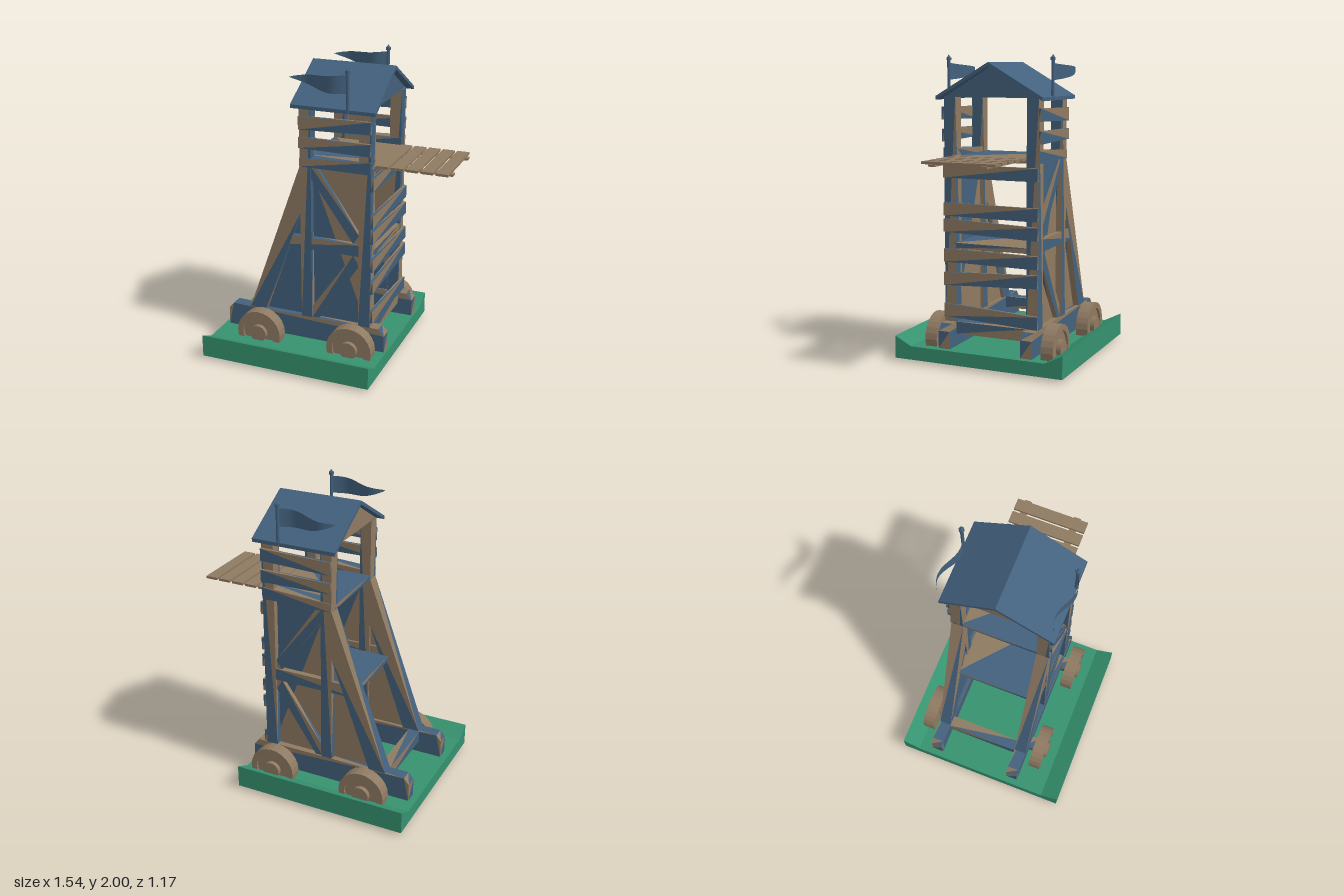
import * as THREE from 'three';

const brown = new THREE.MeshStandardMaterial({ color: 0x8f7a62 });
const blue = new THREE.MeshStandardMaterial({ color: 0x43617d });
const green = new THREE.MeshStandardMaterial({ color: 0x36926f });
const cloth = new THREE.MeshStandardMaterial({ color: 0x43617d, side: THREE.DoubleSide });
const wood = [brown, blue];
const ZC = -0.055; // middle of the tower in z

export function createModel() {
  const root = new THREE.Group();

  function add(name, geometry, material, parent = root) {
    if (Array.isArray(material)) { // patchwork: faces alternate between the two colours
      geometry.clearGroups();
      const n = (geometry.index || geometry.attributes.position).count;
      for (let i = 0; i < n; i += 3) geometry.addGroup(i, 3, (i / 3) % 2);
    }
    const mesh = new THREE.Mesh(geometry, material);
    mesh.name = name;
    parent.add(mesh);
    return mesh;
  }
  const extrude = (pts, depth) => new THREE.ExtrudeGeometry(
    new THREE.Shape(pts.map(([x, y]) => new THREE.Vector2(x, y))), { depth, bevelEnabled: false });

  // outline in (x, y), running from z0 to z1
  const alongZ = (name, pts, z0, z1, mat = wood, parent = root) =>
    add(name, extrude(pts, z1 - z0).translate(0, 0, z0), mat, parent);
  // outline in (z, y), running from x0 to x1
  const alongX = (name, pts, x0, x1, mat = wood, parent = root) =>
    add(name, extrude(pts.map(([z, y]) => [-z, y]), x1 - x0).rotateY(Math.PI / 2).translate(x0, 0, 0), mat, parent);
  const rect = (a0, a1, b0, b1) => [[a0, b0], [a1, b0], [a1, b1], [a0, b1]];

  // Ground slab with raised edges
  alongX('ground', [[-0.587, 0.02], [0.587, 0.02], [0.587, 0.17], [0.47, 0.11], [-0.47, 0.11], [-0.587, 0.17]],
    -0.775, 0.4, green);

  // Stepped wheel profile: radius, height along the axle
  const wheelProfile = [[0, 0], [0.155, 0], [0.155, 0.083], [0.115, 0.083], [0.115, 0.068],
    [0.058, 0.068], [0.058, 0.097], [0, 0.097]];

  // The two side frames, mirrored about the middle of the tower
  for (const s of [1, -1]) {
    const side = new THREE.Group();
    side.name = s > 0 ? 'frontSide' : 'backSide';
    root.add(side);
    const part = (name, pts, inner, outer, mat = wood) =>
      alongZ(name, pts, ZC + (s > 0 ? inner : -outer), ZC + (s > 0 ? outer : -inner), mat, side);

    part('sill', [[-0.735, 0.12], [0.39, 0.12], [0.39, 0.235], [0.35, 0.28], [-0.7, 0.28], [-0.735, 0.24]], 0.245, 0.325);
    part('rearPost', rect(-0.19, -0.115, 0.28, 1.735), 0.245, 0.325);
    part('frontPost', rect(0.21, 0.29, 0.28, 1.735), 0.245, 0.325);
    part('slantedLeg', [[-0.57, 0.28], [-0.455, 0.28], [-0.19, 1.01], [-0.19, 1.33]], 0.245, 0.325);
    part('sidePanel', [[-0.5, 0.28], [0.25, 0.28], [0.25, 1.36], [-0.15, 1.36], [-0.19, 1.15]], 0.265, 0.285);
    part('middleRail', [[-0.365, 0.77], [0.21, 0.77], [0.21, 0.85], [-0.335, 0.85]], 0.25, 0.323);
    part('topRail', [[-0.19, 1.33], [0.29, 1.33], [0.29, 1.41], [-0.19, 1.385]], 0.245, 0.33);
    part('upperBrace', [[-0.115, 1.33], [-0.115, 1.25], [0.17, 0.85], [0.21, 0.85], [0.21, 0.91], [-0.08, 1.33]], 0.27, 0.315);
    part('lowerBrace', [[-0.115, 0.28], [-0.07, 0.28], [0.21, 0.7], [0.21, 0.77], [0.17, 0.77], [-0.115, 0.36]], 0.27, 0.315);
    part('lowerParapetBoard', [[-0.19, 1.455], [0.29, 1.45], [0.29, 1.53], [-0.19, 1.525]], 0.32, 0.342);
    part('upperParapetBoard', [[-0.19, 1.575], [0.29, 1.59], [0.29, 1.67], [-0.19, 1.66]], 0.32, 0.342);

    // Wheels on short axles
    for (const x of [-0.455, 0.19]) {
      part('axle', rect(x - 0.04, x + 0.04, 0.12, 0.2), 0.3, 0.375, wood);
      const points = wheelProfile.map(([r, h]) => new THREE.Vector2(r, h));
      const lathe = new THREE.LatheGeometry(points, 24).toNonIndexed();
      lathe.computeVertexNormals();
      const wheel = add('wheel', lathe, brown, side);
      wheel.rotation.x = s * Math.PI / 2;
      wheel.position.set(x, 0.155, ZC + s * 0.364);
    }

    // Flag pole with pointed finial, and a waving pennant
    const flag = new THREE.Group();
    flag.name = 'flag';
    flag.position.set(0.15, 0, ZC + s * 0.36);
    side.add(flag);
    add('pole', new THREE.CylinderGeometry(0.011, 0.011, 0.25, 8).translate(0, 1.845, 0), blue, flag);
    add('finialCollar', new THREE.CylinderGeometry(0.017, 0.017, 0.018, 8).translate(0, 1.972, 0), blue, flag);
    add('finial', new THREE.ConeGeometry(0.014, 0.022, 8).translate(0, 1.989, 0), blue, flag);
    const pennant = new THREE.PlaneGeometry(1, 1, 20, 2);
    const p = pennant.attributes.position;
    for (let i = 0; i < p.count; i++) {
      const t = 0.5 - p.getX(i); // 0 at the pole, 1 at the tip
      const half = 0.057 * Math.pow(Math.max(0, Math.cos(t * Math.PI / 2)), 0.8);
      const y = 1.897 + 0.012 * t - 0.012 * Math.sin(t * Math.PI) + 2 * p.getY(i) * half;
      p.setXYZ(i, -0.385 * t, y, 0.032 * Math.sin(t * Math.PI * 2));
    }
    pennant.computeVertexNormals();
    add('pennant', pennant, cloth, flag);
  }

  // Cross beams and floors between the frames
  const z0 = -0.3, z1 = 0.19;
  alongZ('rearCrossBeam', rect(-0.575, -0.5, 0.2, 0.28), z0, z1);
  alongZ('frontCrossBeam', rect(0.21, 0.29, 0.2, 0.28), z0, z1);
  alongZ('middleFloor', rect(-0.33, 0.29, 0.765, 0.8), z0 - 0.02, z1 + 0.02);
  alongZ('upperFloor', rect(-0.19, 0.29, 1.33, 1.36), z0 - 0.02, z1 + 0.02);

  // Crooked slats: bottom edge at each end
  for (const [a, b] of [[1.22, 1.22], [0.975, 0.97], [0.87, 0.85], [0.675, 0.67], [0.52, 0.55], [0.315, 0.285]]) {
    alongX('frontSlat', [[0.27, a], [-0.38, b], [-0.38, b + 0.085], [0.27, a + 0.085]], 0.287, 0.308);
  }

  // Lowered drawbridge
  for (const z of [-0.232, 0.108]) {
    alongZ('bridgeRunner', rect(0.28, 0.77, 1.338, 1.352), z - 0.023, z + 0.023, brown);
  }
  for (let i = 0; i < 5; i++) {
    const x = 0.292 + i * 0.096;
    alongZ('bridgePlank', rect(x, x + 0.079, 1.35, 1.366), -0.3, 0.185, brown);
  }

  // Roof with a gable at each end
  const e = 0.365;
  alongX('roof', [[ZC - e, 1.715], [ZC, 1.925], [ZC + e, 1.715], [ZC + e, 1.738], [ZC, 1.95], [ZC - e, 1.738]],
    -0.23, 0.33, blue);
  for (const x of [-0.185, 0.235]) {
    alongX('gable', [[ZC - 0.323, 1.732], [ZC + 0.323, 1.732], [ZC, 1.926]], x, x + 0.05);
  }
  return root;
}
